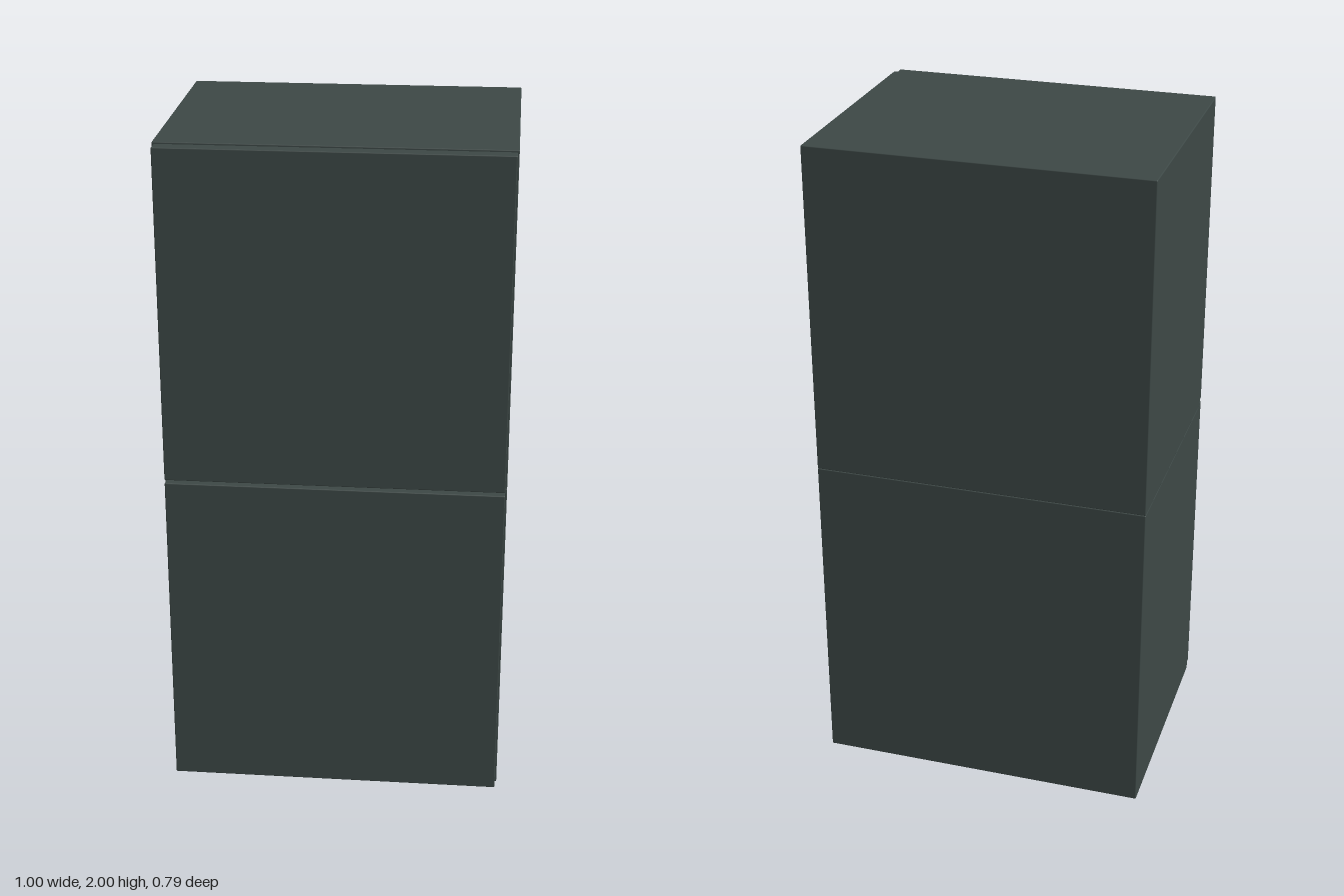
import * as THREE from 'three';
import { RoundedBoxGeometry } from 'three/addons/geometries/RoundedBoxGeometry.js';

const WIDTH = 1, HEIGHT = 1;            // one cabinet unit
const BACK = -0.395, FACE = 0.353, FRONT = 0.395;
const INSET = 0.005;                    // reveal around each door
const EDGE = 0.003;                     // softened edges

export function createModel() {
  const group = new THREE.Group();
  group.name = 'stackedCabinet';
  const material = new THREE.MeshStandardMaterial({ color: 0x3d4846 });

  // softened box spanning z0..z1, centred on x, with its base at y0
  function panel(name, width, height, y0, z0, z1) {
    const mesh = new THREE.Mesh(new RoundedBoxGeometry(width, height, z1 - z0, 2, EDGE), material);
    mesh.name = name;
    mesh.position.set(0, y0 + height / 2, (z0 + z1) / 2);
    return mesh;
  }

  // two identical units, one on top of the other
  ['lower', 'upper'].forEach((level, i) => {
    const unit = new THREE.Group();
    unit.name = level + 'Cabinet';
    unit.position.y = i * HEIGHT;
    unit.add(
      panel(level + 'Body', WIDTH, HEIGHT, 0, BACK, FACE),
      panel(level + 'Door', WIDTH - 2 * INSET, HEIGHT - 2 * INSET, INSET, FACE, FRONT)
    );
    group.add(unit);
  });

  return group;
}
